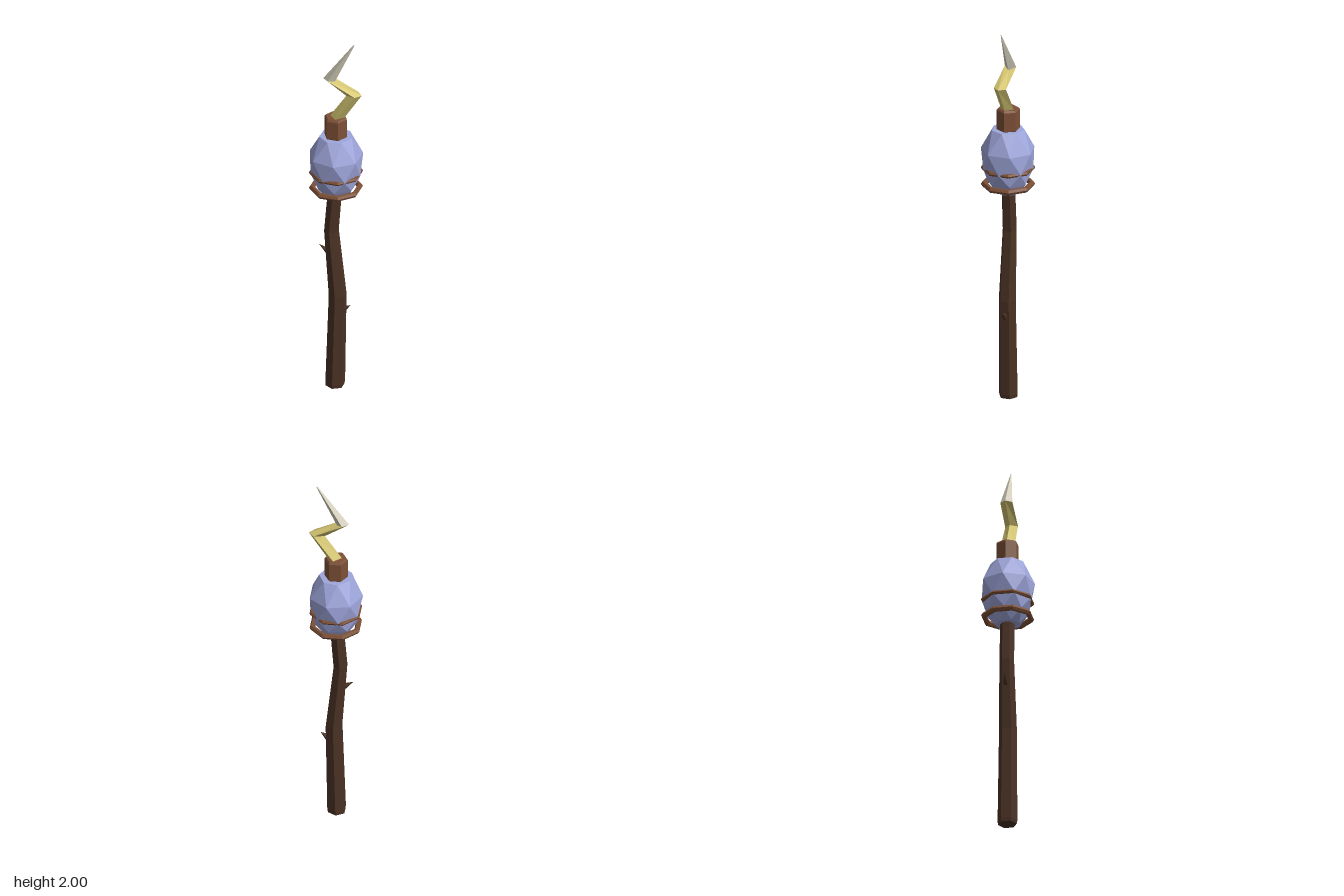
import * as THREE from 'three';

const material = (name, color) => Object.assign(new THREE.MeshStandardMaterial({ color }), { name });

// Faceted normals for any geometry
function faceted(geometry) {
  const g = geometry.index ? geometry.toNonIndexed() : geometry;
  g.computeVertexNormals();
  return g;
}

// Skin over rings of points (counterclockwise from above, bottom to top), closed at both ends
function loft(rings) {
  const pos = [];
  const tri = (...pts) => pts.forEach((p) => pos.push(...p));
  const n = rings[0].length;
  const middle = (r) => [0, 1, 2].map((k) => r.reduce((s, p) => s + p[k], 0) / n);
  const first = rings[0], last = rings[rings.length - 1];
  const m0 = middle(first), m1 = middle(last);
  for (let i = 0; i < n; i++) {
    const j = (i + 1) % n;
    for (let k = 0; k < rings.length - 1; k++) {
      const a = rings[k], b = rings[k + 1];
      tri(a[i], a[j], b[i]);
      tri(a[j], b[j], b[i]);
    }
    tri(m0, first[j], first[i]);
    tri(m1, last[i], last[j]);
  }
  const g = new THREE.BufferGeometry();
  g.setAttribute('position', new THREE.Float32BufferAttribute(pos, 3));
  return faceted(g);
}

// Regular polygon lying level at height y
function polygon(sides, radius, x, y, phase = 0) {
  return Array.from({ length: sides }, (_, i) => {
    const a = phase + (i / sides) * Math.PI * 2;
    return [x + radius * Math.cos(a), y, -radius * Math.sin(a)];
  });
}

export function createModel() {
  const group = new THREE.Group();
  const darkWood = material('dark wood', 0x4b3224);
  const brown = material('brown binding', 0x7d5037);
  const stoneBlue = material('periwinkle stone', 0x9fa7dc);
  const gold = material('gold', 0xd6c773);
  const cream = material('pale tip', 0xd6d0bd);
  const add = (name, geometry, mat) => {
    const mesh = new THREE.Mesh(geometry, mat);
    mesh.name = name;
    group.add(mesh);
    return mesh;
  };

  // Crooked hexagonal shaft: x, y, radius
  const shaft = [[-0.005, 0, 0.048], [-0.004, 0.02, 0.051], [0.009, 0.53, 0.046], [-0.024, 0.9, 0.038], [-0.006, 1.13, 0.037]];
  add('shaft', loft(shaft.map(([x, y, r]) => polygon(6, r, x, y, Math.PI / 6))), darkWood);

  // Thorns on the shaft: base, tip
  [[[-0.03, 0.765], [-0.09, 0.805]], [[0.035, 0.445], [0.077, 0.478]]].forEach(([base, tip], i) => {
    const from = new THREE.Vector3(...base, 0);
    const dir = new THREE.Vector3(...tip, 0).sub(from);
    const cone = new THREE.ConeGeometry(0.02, dir.length(), 6).translate(0, dir.length() / 2, 0);
    const thorn = add('thorn' + (i + 1), faceted(cone), darkWood);
    thorn.position.copy(from);
    thorn.quaternion.setFromUnitVectors(new THREE.Vector3(0, 1, 0), dir.normalize());
  });

  // Seven-sided faceted stone, each ring turned half a step: y, radius
  const stone = [[1.115, 0.065], [1.175, 0.108], [1.245, 0.13], [1.345, 0.139], [1.455, 0.085]];
  add('stone', loft(stone.map(([y, r], k) => polygon(7, r, 0, y, Math.PI + ((k - 3) * Math.PI) / 7))), stoneBlue);

  // Octagonal bindings around the stone
  [['upperBinding', 1.245, 0.127, 0.011], ['lowerBinding', 1.156, 0.122, 0.015]].forEach(([name, y, r, tube]) => {
    const ring = new THREE.TorusGeometry(r, tube, 6, 8).rotateZ(Math.PI / 8).rotateX(Math.PI / 2);
    add(name, faceted(ring), brown).position.y = y;
  });

  // Hexagonal collar with bevelled rims
  const collar = [[1.445, 0.052], [1.457, 0.06], [1.558, 0.06], [1.568, 0.053]];
  add('collar', loft(collar.map(([y, r]) => polygon(6, r, -0.002, y))), brown);

  // Zigzag bolt of diamond sections: right x/y, middle x/y, left x/y, half depth
  const diamond = ([rx, ry, mx, my, lx, ly, d]) => [[rx, ry, 0], [mx, my, -d], [lx, ly, 0], [mx, my, d]];
  const bolt = [
    [0.034, 1.55, 0.0, 1.555, -0.036, 1.56, 0.036],
    [0.137, 1.712, 0.11, 1.712, 0.055, 1.697, 0.033],
    [-0.005, 1.77, -0.035, 1.782, -0.068, 1.778, 0.031],
    [0.099, 1.998, 0.096, 2, 0.093, 2, 0.002],
  ].map(diamond);
  add('boltShank', loft(bolt.slice(0, 3)), gold);
  add('boltTip', loft(bolt.slice(2)), cream);

  return group;
}
